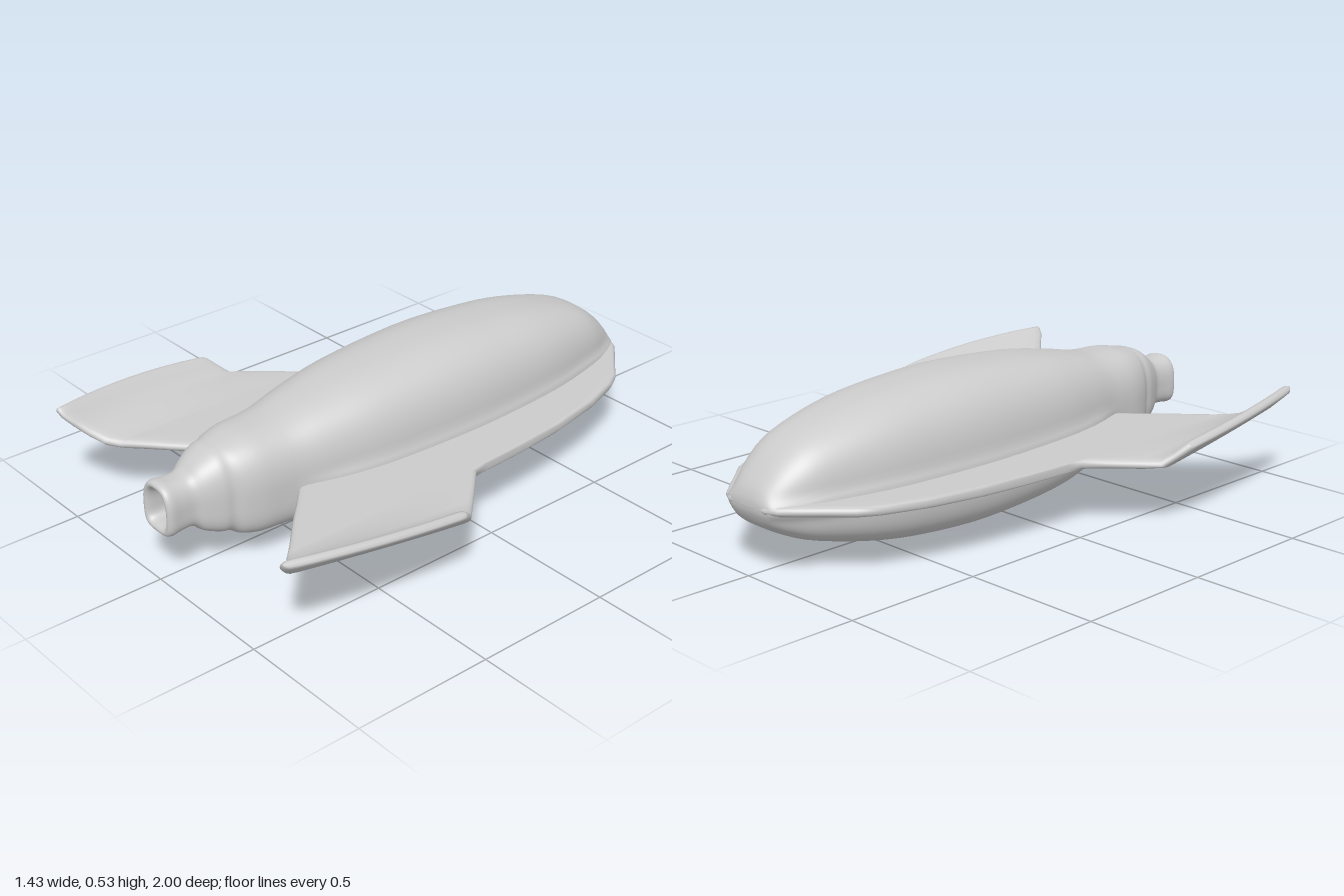
import * as THREE from 'three';

const material = new THREE.MeshStandardMaterial({ color: 0xcccccc, side: THREE.DoubleSide });

// Skin a row of closed rings with smooth normals
function loft(rings, name, flip = false) {
  const n = rings[0].length, pos = [], index = [];
  rings.forEach(ring => ring.forEach(p => pos.push(p.x, p.y, p.z)));
  for (let i = 0; i < rings.length - 1; i++) {
    for (let j = 0; j < n; j++) {
      const a = i * n + j, b = i * n + (j + 1) % n, c = a + n, d = b + n;
      if (flip) index.push(a, c, b, b, c, d);
      else index.push(a, b, c, b, d, c);
    }
  }
  const geo = new THREE.BufferGeometry();
  geo.setAttribute('position', new THREE.Float32BufferAttribute(pos, 3));
  geo.setIndex(index);
  geo.computeVertexNormals();
  const mesh = new THREE.Mesh(geo, material);
  mesh.name = name;
  return mesh;
}

// Squarish hull ring: half width, bottom, top; softer above the waist than below
function hullRing(z, hw, yb, yt) {
  const ring = [], n = 96;
  const waist = yb + (yt - yb) * 0.44;
  const fillet = 0.022 * THREE.MathUtils.smoothstep(0.6 - z, 0, 0.25);
  for (let j = 0; j < n; j++) {
    const a = (j / n) * Math.PI * 2, c = Math.cos(a), s = Math.sin(a);
    const e = 2 / (s > 0 ? 2.6 : 3.6);
    const y = waist + Math.sign(s) * Math.abs(s) ** e * (s > 0 ? yt - waist : waist - yb);
    const flare = Math.abs(c) > 0.3 ? fillet * Math.exp(-(((y - 0.238) / 0.028) ** 2)) : 0;
    const x = Math.sign(c) * (Math.abs(c) ** e * hw + flare);
    ring.push(new THREE.Vector3(x, y, z));
  }
  return ring;
}

// Interpolate rows of numbers smoothly
function smoothRows(rows, steps) {
  const out = [], at = i => rows[Math.min(Math.max(i, 0), rows.length - 1)];
  for (let i = 0; i < rows.length - 1; i++) {
    for (let k = 0; k < steps; k++) {
      const t = k / steps;
      out.push(rows[i].map((v, c) => {
        const p = at(i - 1)[c], q = at(i + 1)[c], r = at(i + 2)[c];
        return 0.5 * (2 * v + (q - p) * t + (2 * p - 5 * v + 4 * q - r) * t * t
          + (3 * v - p - 3 * q + r) * t * t * t);
      }));
    }
  }
  out.push(rows[rows.length - 1]);
  return out;
}

function createHull() {
  // z, half width, bottom, top; the last rows fold into the nozzle
  const rows = [
    [-1, 0, 0.238, 0.238], [-0.995, 0.07, 0.21, 0.27], [-0.97, 0.105, 0.17, 0.315],
    [-0.9, 0.145, 0.128, 0.385], [-0.8, 0.182, 0.09, 0.443], [-0.6, 0.226, 0.043, 0.495],
    [-0.4, 0.247, 0.016, 0.52], [-0.13, 0.257, 0.003, 0.532], [0.2, 0.24, 0.02, 0.513],
    [0.4, 0.207, 0.052, 0.482], [0.53, 0.177, 0.085, 0.455], [0.6, 0.168, 0.092, 0.448],
    [0.68, 0.16, 0.095, 0.445], [0.74, 0.143, 0.108, 0.435], [0.775, 0.122, 0.128, 0.428],
    [0.81, 0.116, 0.135, 0.42], [0.86, 0.093, 0.155, 0.39], [0.895, 0.074, 0.182, 0.363],
    [0.94, 0.073, 0.184, 0.36], [0.98, 0.077, 0.18, 0.364], [0.998, 0.07, 0.186, 0.357],
    [0.997, 0.056, 0.2, 0.343], [0.97, 0.047, 0.21, 0.332], [0.88, 0.042, 0.215, 0.325],
    [0.87, 0, 0.265, 0.265],
  ];
  return loft(smoothRows(rows, 4).map(r => hullRing(...r)), 'hull');
}

// One wing: strake, swept panel and upturned tip, as chords from root to tip
function createWing(side) {
  // leading x, y, z, trailing x, y, z, outward bow, tilt of the thickness
  const stations = [
    [0, 0.238, -1, 0, 0.238, 0.45, 0, 0],
    [0.09, 0.238, -1, 0.09, 0.238, 0.49, 0, 0],
    [0.13, 0.238, -0.98, 0.13, 0.238, 0.525, 0, 0],
    [0.17, 0.238, -0.94, 0.17, 0.238, 0.56, 0, 0],
    [0.24, 0.238, -0.866, 0.24, 0.238, 0.625, 0, 0],
    [0.3, 0.238, -0.805, 0.3, 0.238, 0.685, 0, 0],
    [0.335, 0.238, -0.745, 0.335, 0.238, 0.717, 0, 0],
    [0.385, 0.238, -0.6, 0.385, 0.238, 0.762, 0, 0],
    [0.425, 0.238, -0.4, 0.425, 0.238, 0.8, 0, 0],
    [0.445, 0.238, -0.2, 0.445, 0.238, 0.82, 0, 0],
    [0.455, 0.238, -0.02, 0.455, 0.238, 0.83, 0, 0],
    [0.462, 0.238, 0.04, 0.462, 0.238, 0.835, 0, 0],
    [0.52, 0.238, 0.1, 0.5, 0.245, 0.87, 0, 0],
    [0.6, 0.236, 0.185, 0.545, 0.272, 0.905, 0.005, 0.2],
    [0.645, 0.237, 0.235, 0.58, 0.307, 0.94, 0.012, 0.6],
    [0.675, 0.269, 0.27, 0.602, 0.335, 0.965, 0.018, 0.9],
    [0.698, 0.297, 0.3, 0.62, 0.354, 0.972, 0.024, 0.9],
    [0.703, 0.303, 0.31, 0.625, 0.36, 0.97, 0.026, 0.9],
  ];
  const half = [0, 0.003, 0.01, 0.025, 0.06, 0.13, 0.2, 0.3, 0.4, 0.5];
  const cuts = [...half, ...half.slice(0, -1).reverse().map(s => 1 - s)];
  const section = ([lx, ly, lz, tx, ty, tz, bow, tilt], scale) => {
    const point = (s, sign) => {
      const edge = Math.min(s, 1 - s) * (tz - lz);
      const th = 0.017 * scale * Math.sqrt(1 - (1 - Math.min(edge / 0.03, 1)) ** 2) * sign;
      const arc = 4 * s * (1 - s);
      const x = lx + (tx - lx) * s + bow * arc - th * Math.sin(tilt);
      const y = ly + (ty - ly) * s + bow * 0.3 * arc + th * Math.cos(tilt);
      return new THREE.Vector3(side * x, y, lz + (tz - lz) * s);
    };
    const top = cuts.map(s => point(s, 1));
    const bottom = cuts.slice(1, -1).reverse().map(s => point(s, -1));
    return [...top, ...bottom];
  };
  const last = stations.length - 1;
  const rings = stations.map((s, i) => section(s, i === last ? 0.6 : 1));
  rings.push(section(stations[last], 0));
  return loft(rings, side > 0 ? 'leftWing' : 'rightWing', side < 0);
}

export function createModel() {
  const model = new THREE.Group();
  model.name = 'wingedCraft';
  model.add(createHull(), createWing(1), createWing(-1));
  return model;
}
